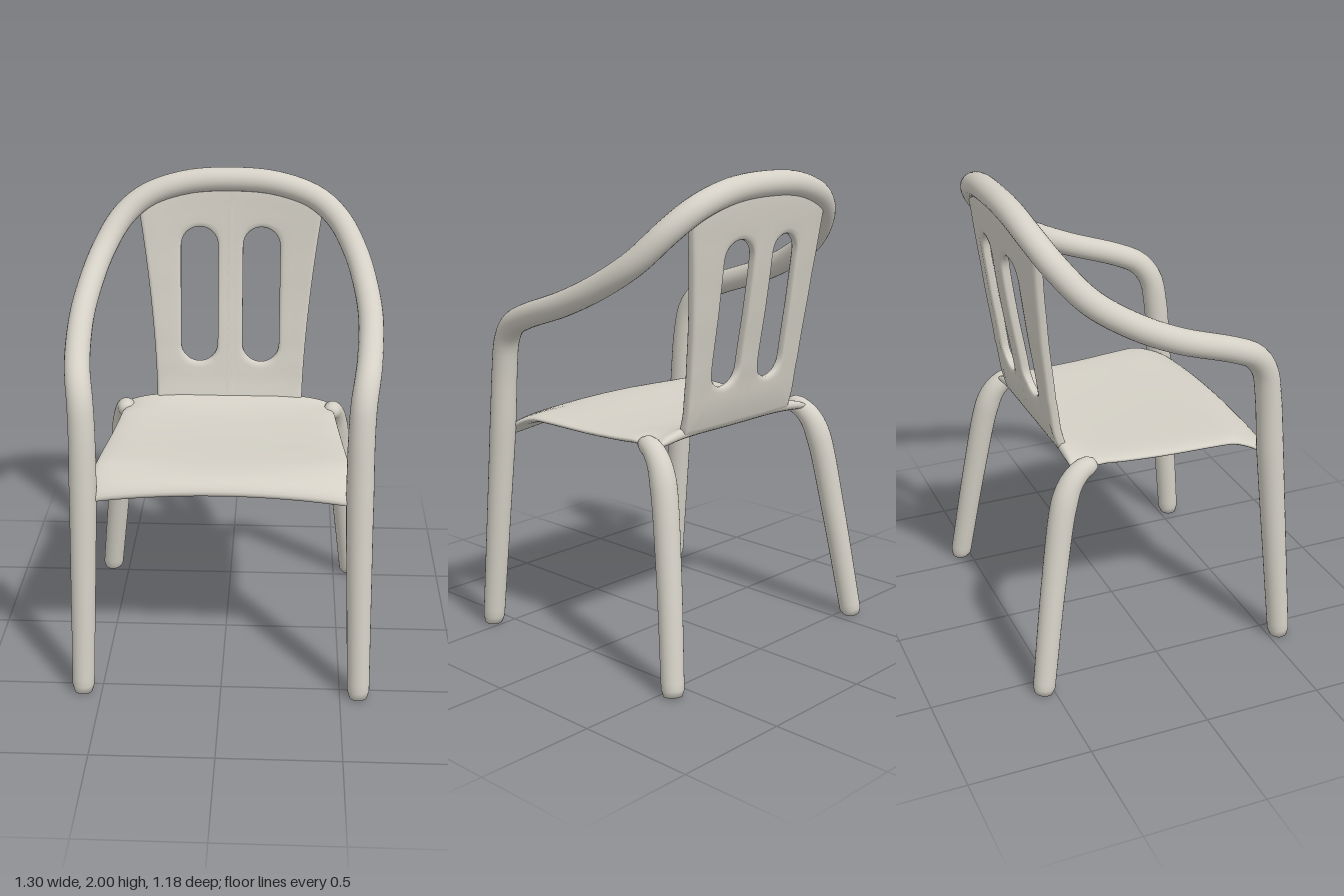
import * as THREE from 'three';
import { mergeVertices } from 'three/addons/utils/BufferGeometryUtils.js';

const plastic = new THREE.MeshStandardMaterial({ color: 0xd4d0c6 });
plastic.name = 'warm grey plastic';
const V = (x, y, z) => new THREE.Vector3(x, y, z);

// Smooth skin over a grid of points; columns wrap round, winding set to face outwards
function skin(name, rows, cols, point, closedRows = false) {
  const pos = [], idx = [];
  for (let i = 0; i < rows; i++)
    for (let j = 0; j < cols; j++) pos.push(...point(i, j).toArray());
  for (let i = 0; i < (closedRows ? rows : rows - 1); i++)
    for (let j = 0; j < cols; j++) {
      const n = ((i + 1) % rows) * cols, m = i * cols, k = (j + 1) % cols;
      idx.push(m + j, n + j, n + k, m + j, n + k, m + k);
    }
  let volume = 0;
  const P = (i) => V(pos[i * 3], pos[i * 3 + 1], pos[i * 3 + 2]);
  for (let i = 0; i < idx.length; i += 3)
    volume += P(idx[i]).dot(P(idx[i + 1]).cross(P(idx[i + 2])));
  if (volume < 0) idx.reverse();
  let g = new THREE.BufferGeometry();
  g.setAttribute('position', new THREE.Float32BufferAttribute(pos, 3));
  g.setIndex(idx);
  g = mergeVertices(g, 1e-5);
  g.computeVertexNormals();
  const mesh = new THREE.Mesh(g, plastic);
  mesh.name = name;
  return mesh;
}

// Round bar along a path, with varying radius and softly capped ends
function bar(name, points, steps, radius) {
  const curve = new THREE.CatmullRomCurve3(points, false, 'centripetal');
  const { normals, binormals } = curve.computeFrenetFrames(steps);
  const sides = 24;
  return skin(name, steps + 3, sides, (i, j) => {
    const s = THREE.MathUtils.clamp(i - 1, 0, steps);
    const p = curve.getPointAt(s / steps);
    let r = radius(p, s / steps);
    if (i === 0 || i === steps + 2) r = 0;
    else if (s === 0 || s === steps) r *= 0.82;
    const a = (j / sides) * Math.PI * 2;
    p.addScaledVector(normals[s], r * Math.cos(a)).addScaledVector(binormals[s], r * Math.sin(a));
    p.y = Math.max(0, p.y);
    return p;
  });
}

// Front legs, arms and top rail as one continuous tube
function frame() {
  const half = [
    [0.578, 0, 0.55], [0.567, 0.45, 0.512], [0.557, 0.9, 0.474], [0.556, 1.16, 0.452],
    [0.562, 1.28, 0.427], [0.575, 1.355, 0.37], [0.586, 1.4, 0.28], [0.599, 1.49, 0.02],
    [0.583, 1.575, -0.16], [0.545, 1.675, -0.31], [0.47, 1.795, -0.415],
    [0.37, 1.875, -0.465], [0.2, 1.931, -0.488],
  ].map((p) => V(...p));
  const other = half.map((p) => V(-p.x, p.y, p.z)).reverse();
  return bar('legAndArmFrame', [...half, V(0, 1.946, -0.494), ...other], 170, (p) =>
    p.y < 0.9 ? 0.046 + 0.01 * (p.y / 0.9) : 0.056 - 0.004 * Math.min(1, (p.y - 0.9) / 0.5));
}

// Splayed back leg ending in a rounded knuckle under the seat corner
function backLeg(side) {
  const path = [
    [0.458, 0.952, -0.262], [0.466, 0.938, -0.32], [0.478, 0.89, -0.372], [0.49, 0.81, -0.407],
    [0.525, 0.49, -0.468], [0.58, 0, -0.543],
  ].map(([x, y, z]) => V(side * x, y, z));
  return bar(side > 0 ? 'leftBackLeg' : 'rightBackLeg', path, 40, (p, t) =>
    t < 0.2 ? 0.03 + 0.024 * Math.sqrt(t / 0.2) : 0.054 - 0.008 * (t - 0.2) / 0.8);
}

// Dished seat with a rolled front lip and a raised back edge
function seat() {
  const mid = new THREE.CatmullRomCurve3([
    [-0.362, 0.985], [-0.31, 0.962], [-0.22, 0.942], [0, 0.934], [0.25, 0.94],
    [0.37, 0.94], [0.44, 0.93], [0.475, 0.908], [0.488, 0.89],
  ].map(([z, y]) => V(0, y, z)), false, 'centripetal');
  const M = 36, N = 32;
  return skin('seat', N + 1, 2 * M, (i, j) => {
    const s = Math.sin((i / N - 0.5) * Math.PI);
    const top = j <= M, k = top ? j : 2 * M - j;
    const t = 0.5 - 0.5 * Math.cos((k / M) * Math.PI);
    const p = mid.getPointAt(t), d = mid.getTangentAt(t);
    const thick = 0.023 * Math.sqrt(Math.max(0, 1 - s ** 10)) * Math.sqrt(Math.max(0, 1 - (2 * t - 1) ** 40));
    const front = THREE.MathUtils.smoothstep(p.z, 0.3, 0.5);
    const back = THREE.MathUtils.smoothstep(-p.z, 0.2, 0.37);
    const width = 0.46 + 0.07 * (p.z + 0.362) / 0.8;
    p.x = s * width;
    p.y += 0.012 * s * s - 0.05 * front * s * s - 0.045 * back * s ** 4;
    const sign = top ? 1 : -1;
    p.y += sign * thick * d.z;
    p.z -= sign * thick * d.y;
    return p;
  });
}

// Half of the back panel: a curved sheet wrapped round one upright slot
function backHalf(side) {
  const mid = new THREE.SplineCurve([
    [0.955, -0.345], [1.05, -0.372], [1.2, -0.4], [1.5, -0.45], [1.75, -0.482], [1.95, -0.5],
  ].map((p) => new THREE.Vector2(...p)));
  const depthAt = (y) => mid.getPoint(THREE.MathUtils.clamp(
    y < 1.05 ? (y - 0.955) / 0.095 / 5 : y < 1.2 ? (1 + (y - 1.05) / 0.15) / 5
      : y < 1.5 ? (2 + (y - 1.2) / 0.3) / 5 : y < 1.75 ? (3 + (y - 1.5) / 0.25) / 5
        : (4 + (y - 1.75) / 0.2) / 5, 0, 1)).y;
  // Section from slot wall to outer edge: blend, depth
  const frontSide = [[0, 0.5], [0.04, 0.85], [0.13, 1], [0.35, 1], [0.6, 1], [0.89, 1], [0.96, 0.85], [1, 0.5]];
  const section = [...frontSide, ...frontSide.map(([a, d]) => [a, -d]).reverse()];
  const E = 24;
  return skin(side > 0 ? 'leftBackPanel' : 'rightBackPanel', 4 * E, section.length, (i, j) => {
    // Walk round a unit square
    const e = Math.floor(i / E), f = (i % E) / E * 2 - 1;
    const [s, t] = [[1, f], [-f, 1], [-1, -f], [f, -1]][e];
    // Slot outline with round ends
    const cap = Math.sign(t) * Math.max(0, (Math.abs(t) - 0.7) / 0.3);
    const len = Math.hypot(s, cap) || 1;
    const sx = 0.137 + 0.082 * s / len;
    const sy = 1.44 + THREE.MathUtils.clamp(t / 0.7, -1, 1) * 0.218 + 0.082 * cap / len;
    // Outer outline, flaring upward and arched along the rail
    const h = (t + 1) / 2;
    const w = 0.325 + 0.08 * h ** 1.6;
    const ox = -0.025 + (w + 0.025) * (s + 1) / 2;
    const oy = 0.962 + (0.968 - 0.5 * ox * ox) * h;
    const [a, d] = section[j];
    const x = sx + (ox - sx) * a, y = sy + (oy - sy) * a;
    const wrap = 0.2 * x * x * THREE.MathUtils.clamp((y - 0.95) / 0.6, 0, 1);
    return V(side * x, y, depthAt(y) + wrap + 0.02 * d);
  }, true);
}

export function createModel() {
  const chair = new THREE.Group();
  chair.name = 'armchair';
  chair.add(frame(), seat());
  for (const side of [1, -1]) chair.add(backLeg(side), backHalf(side));
  return chair;
}
